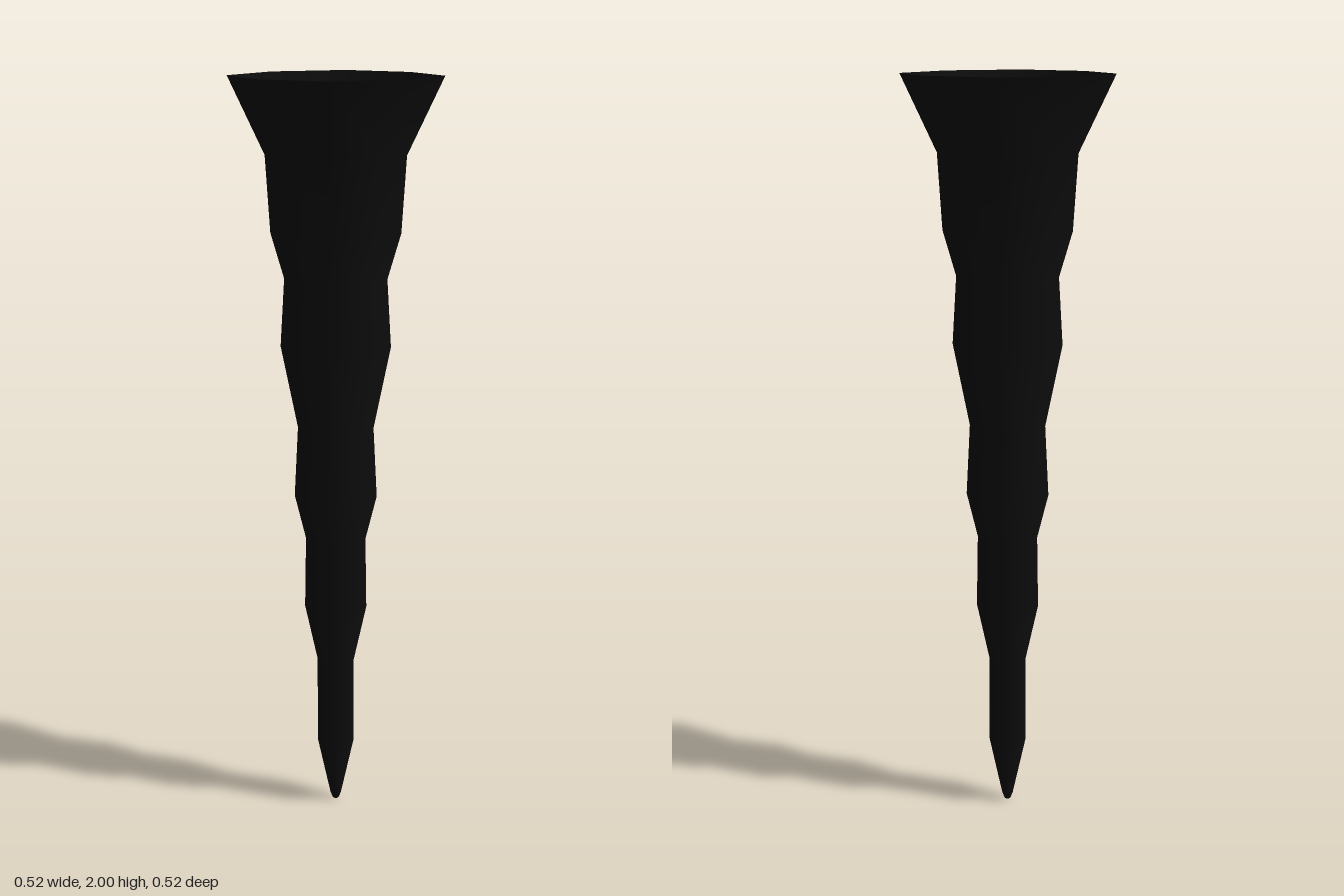
import * as THREE from 'three';

export function createModel() {
  const model = new THREE.Group();
  model.name = 'stalactite';

  const darkRock = new THREE.MeshStandardMaterial({ color: 0x0d0d0d, side: THREE.DoubleSide });
  darkRock.name = 'dark rock';

  // Profile from tip to open rim: radius, height
  const profile = [
    [0, 0], [0.008, 0.003], [0.014, 0.02], [0.047, 0.18], [0.047, 0.42],
    [0.079, 0.575], [0.076, 0.77], [0.104, 0.89], [0.095, 1.08], [0.137, 1.3],
    [0.127, 1.48], [0.16, 1.6], [0.172, 1.8], [0.261, 2],
  ].map(([r, y]) => new THREE.Vector2(r, y));

  // Eight-sided hollow spike, open at the top
  const geometry = new THREE.LatheGeometry(profile, 8);

  // Push the diagonal corners slightly outwards
  const p = geometry.attributes.position;
  for (let i = 0; i < p.count; i++) {
    const x = p.getX(i), z = p.getZ(i);
    if (Math.min(Math.abs(x), Math.abs(z)) > 1e-4) {
      p.setX(i, x * 1.09);
      p.setZ(i, z * 1.035);
    }
  }

  const spike = new THREE.Mesh(geometry, darkRock);
  spike.name = 'spike';
  model.add(spike);
  return model;
}
